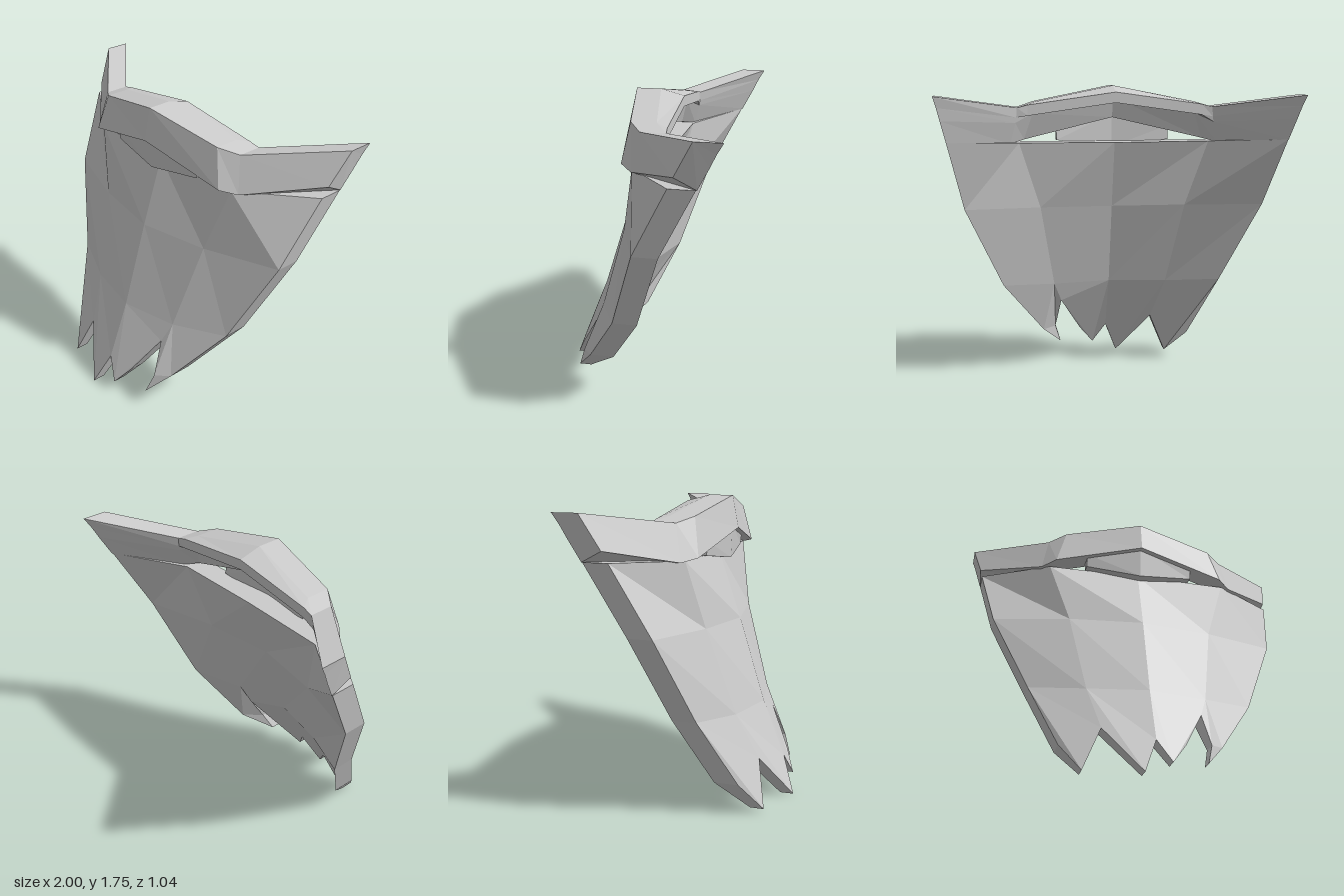
import * as THREE from 'three';

const material = new THREE.MeshStandardMaterial({ color: 0xcccccc, flatShading: true, side: THREE.DoubleSide });

function facetMesh(name, triangles) {
  const geometry = new THREE.BufferGeometry();
  geometry.setAttribute('position', new THREE.Float32BufferAttribute(triangles.flat(2), 3));
  geometry.computeVertexNormals();
  const mesh = new THREE.Mesh(geometry, material);
  mesh.name = name;
  return mesh;
}

// Thick folded sheet: front points [x, y, z, depth], panels as loops of point indices
function sheet(name, points, panels, depth) {
  const front = points.map(([x, y, z]) => [x, y, z]);
  const back = points.map(([x, y, z, d = depth]) => [x, y, z - d]);
  const triangles = [];
  const edges = new Map();
  for (const panel of panels) {
    const flat = panel.map((i) => new THREE.Vector2(points[i][0], points[i][1]));
    for (const face of THREE.ShapeUtils.triangulateShape(flat, [])) {
      let [a, b, c] = face.map((k) => panel[k]);
      const [p, q, r] = [front[a], front[b], front[c]];
      const area = (q[0] - p[0]) * (r[1] - p[1]) - (q[1] - p[1]) * (r[0] - p[0]);
      if (area < 0) [b, c] = [c, b];
      triangles.push([front[a], front[b], front[c]], [back[a], back[c], back[b]]);
      for (const [s, t] of [[a, b], [b, c], [c, a]]) {
        if (!edges.delete(`${t},${s}`)) edges.set(`${s},${t}`, [s, t]);
      }
    }
  }
  // Edges used once form the rim
  for (const [s, t] of edges.values()) {
    triangles.push([front[s], back[s], back[t]], [front[s], back[t], front[t]]);
  }
  return facetMesh(name, triangles);
}

// Solid lofted through matching rings of points, with closed ends
function loft(name, rings) {
  const triangles = [];
  const n = rings[0].length;
  for (let i = 0; i < rings.length - 1; i++) {
    for (let j = 0; j < n; j++) {
      const k = (j + 1) % n;
      const [a, b, c, d] = [rings[i][j], rings[i][k], rings[i + 1][k], rings[i + 1][j]];
      triangles.push([a, b, c], [a, c, d]);
    }
  }
  const first = rings[0];
  const last = rings[rings.length - 1];
  for (let j = 1; j < n - 1; j++) {
    triangles.push([first[0], first[j + 1], first[j]], [last[0], last[j], last[j + 1]]);
  }
  return facetMesh(name, triangles);
}

export function createModel() {
  const group = new THREE.Group();
  group.name = 'faceMask';

  // Hanging cloth: three rows of five points, then the torn hem
  const rows = [
    [[0.945, 1.46, -0.25], [0.55, 1.435, 0.015], [0, 1.43, 0.03]],
    [[0.865, 1.065, -0.05], [0.43, 1.05, 0.09], [0, 1.04, 0.16]],
    [[0.655, 0.58, 0.11], [0.345, 0.55, 0.24], [0, 0.545, 0.31]],
  ];
  const cloth = [];
  for (const [edge, mid, centre] of rows) {
    const flip = ([x, y, z]) => [-x, y, z];
    cloth.push(flip(edge), flip(mid), centre, mid, edge);
  }
  cloth.push(
    [-0.5, 0.19, 0.3], [-0.39, 0.02, 0.42, 0.08], [-0.28, 0.28, 0.36, 0.1],   // 15-17
    [-0.08, 0.005, 0.52, 0.08], [0, 0.21, 0.44, 0.1], [0.08, 0.08, 0.48, 0.08], // 18-20
    [0.17, 0.2, 0.42, 0.1], [0.3, 0.43, 0.29], [0.33, 0.23, 0.37, 0.09],       // 21-23
    [0.295, 0.11, 0.41, 0.07], [0.41, 0.24, 0.31],                              // 24-25
  );
  const panels = [];
  for (let r = 0; r < 2; r++) {
    for (let c = 0; c < 4; c++) {
      const i = r * 5 + c;
      panels.push([i, i + 5, i + 6, i + 1]);
    }
  }
  panels.push(
    [10, 15, 16, 17, 11],
    [11, 17, 18, 19, 12],
    [12, 19, 20, 21, 22, 13],
    [13, 22, 23, 24, 25, 14],
  );
  group.add(sheet('tornCloth', cloth, panels, 0.14));

  // Top band: front top, front bottom, back bottom, hood inside, hood back lower, hood back upper, ridge
  const half = [
    [[0, 1.755, 0.11], [0, 1.57, 0.145], [0, 1.57, 0.005], [0, 1.69, -0.03],
      [0, 1.66, -0.165], [0, 1.72, -0.165], [0, 1.755, -0.03]],
    [[0.46, 1.665, 0.04], [0.52, 1.45, 0.08], [0.52, 1.45, -0.06], [0.47, 1.6, -0.1],
      [0.5, 1.59, -0.165], [0.5, 1.65, -0.165], [0.46, 1.665, -0.1]],
    [[0.56, 1.635, -0.03], [0.6, 1.43, 0.01], [0.6, 1.43, -0.13], [0.57, 1.55, -0.16],
      [0.565, 1.58, -0.165], [0.56, 1.635, -0.17], [0.56, 1.635, -0.17]],
    [[1, 1.71, -0.38], [0.955, 1.52, -0.28], [0.945, 1.46, -0.395], [0.97, 1.58, -0.457],
      [0.985, 1.65, -0.49], [1, 1.71, -0.525], [1, 1.71, -0.525]],
  ];
  const mirrored = half.slice(1).reverse().map((ring) => ring.map(([x, y, z]) => [-x, y, z]));
  group.add(loft('topBand', [...mirrored, ...half]));

  // Nose piece hanging below the band
  const nose = [
    [-0.33, 1.52, 0.07], [-0.33, 1.44, 0.06], [0, 1.395, 0.1],
    [0.33, 1.44, 0.06], [0.33, 1.52, 0.07], [0, 1.59, 0.11],
  ];
  group.add(sheet('nosePiece', nose, [[0, 1, 2, 5], [5, 2, 3, 4]], 0.07));

  return group;
}
